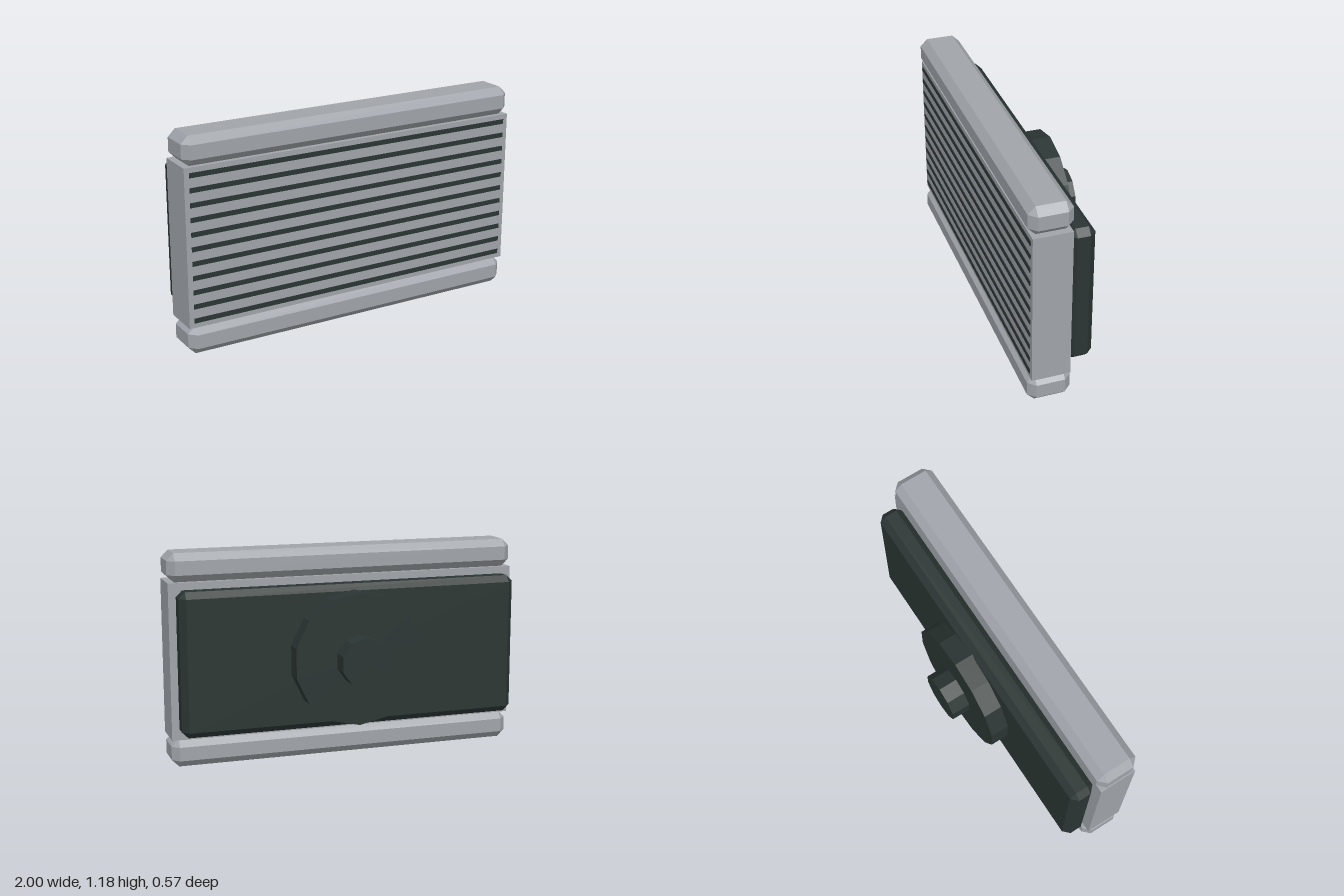
import * as THREE from 'three';
import { ConvexGeometry } from 'three/addons/geometries/ConvexGeometry.js';

const lightGrey = new THREE.MeshStandardMaterial({ color: 0xa0a4aa });
lightGrey.name = 'light grey';
const darkGrey = new THREE.MeshStandardMaterial({ color: 0x2b3533 });
darkGrey.name = 'dark grey';

// box with every edge chamfered at 45 degrees
function chamferedBox(w, h, d, c) {
  const points = [];
  for (const sx of [-1, 1]) for (const sy of [-1, 1]) for (const sz of [-1, 1]) {
    for (let axis = 0; axis < 3; axis++) {
      const half = [w / 2, h / 2, d / 2].map((s, i) => (i === axis ? s : s - c));
      points.push(new THREE.Vector3(sx * half[0], sy * half[1], sz * half[2]));
    }
  }
  return new ConvexGeometry(points);
}

// faceted disc facing backwards, with a corner pointing up
function disc(radius, depth, sides) {
  const flat = new THREE.CylinderGeometry(radius, radius, depth, sides).toNonIndexed();
  flat.rotateX(-Math.PI / 2);
  flat.computeVertexNormals();
  return flat;
}

export function createModel() {
  const group = new THREE.Group();
  const add = (name, geometry, material, y, z) => {
    const mesh = new THREE.Mesh(geometry, material);
    mesh.name = name;
    mesh.position.set(0, y, z);
    group.add(mesh);
  };

  // main panel between the two rails
  add('panel', new THREE.BoxGeometry(2, 0.868, 0.209), lightGrey, 0.591, 0.1685);
  const rail = chamferedBox(2, 0.157, 0.234, 0.04);
  add('bottomRail', rail, lightGrey, 0.0785, 0.169);
  add('topRail', rail, lightGrey, 1.1035, 0.169);

  // grille slots across the front
  const slot = new THREE.BoxGeometry(1.945, 0.026, 0.008);
  for (let i = 0; i < 11; i++) add('grilleSlot' + (i + 1), slot, darkGrey, 0.197 + i * 0.0787, 0.273);

  // back plate with its mounting disc and hub
  add('backPlate', chamferedBox(1.93, 0.797, 0.139, 0.035), darkGrey, 0.592, -0.005);
  add('mountDisc', disc(0.37, 0.115, 14), darkGrey, 0.592, -0.1205);
  add('mountHub', disc(0.138, 0.115, 10), darkGrey, 0.592, -0.2265);

  return group;
}
